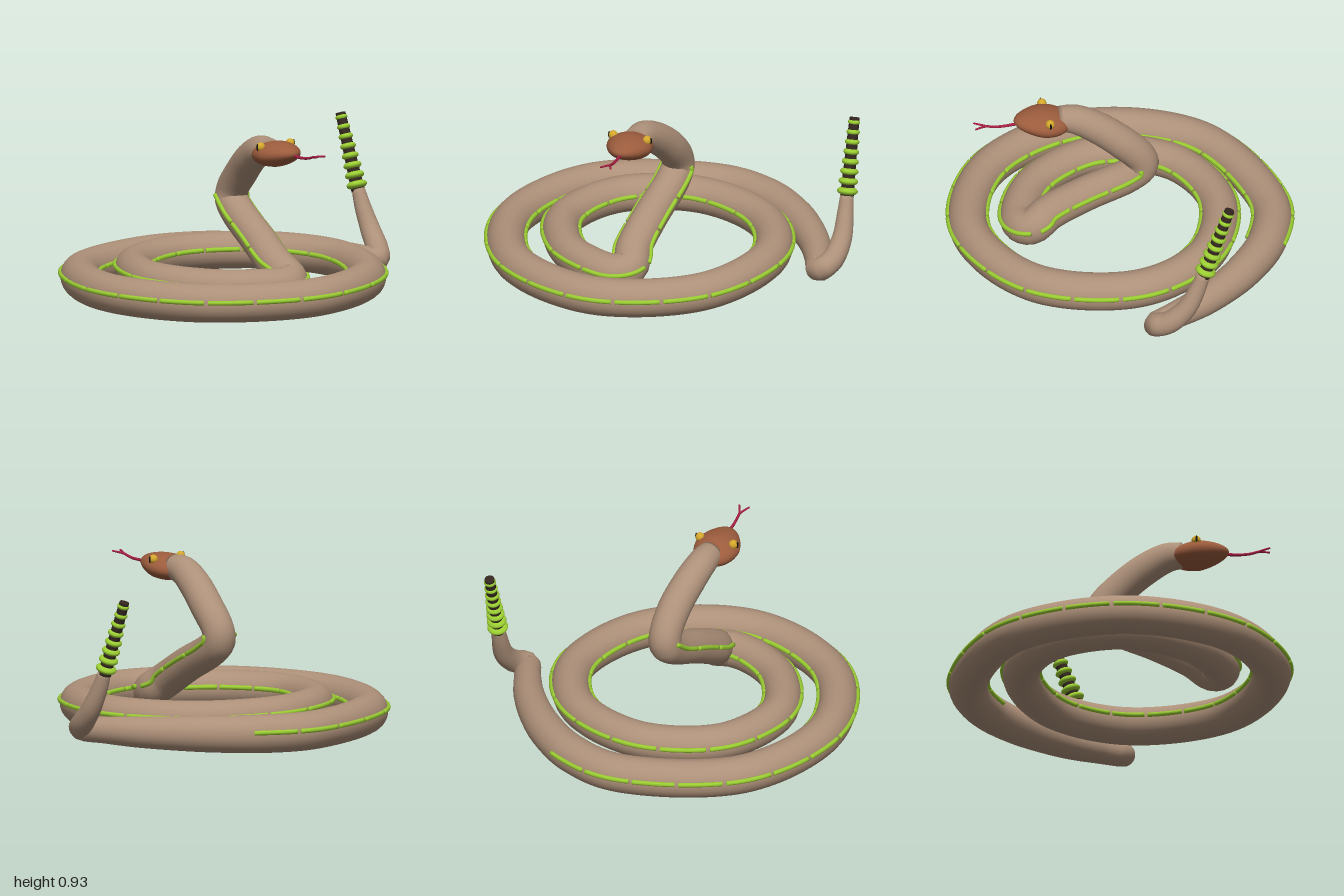
import * as THREE from 'three';

const V = (x, y, z) => new THREE.Vector3(x, y, z);
const mat = (name, color) => new THREE.MeshStandardMaterial({ name, color });
const UP = V(0, 1, 0);

// Closed tube along a curve; radius is a function of arc length 0..1
function sweep(curve, radius, steps, sides) {
  const frames = curve.computeFrenetFrames(steps, false);
  const pos = [], idx = [];
  const ring = (i, r) => {
    const p = curve.getPointAt(i / steps);
    for (let j = 0; j < sides; j++) {
      const a = (j / sides) * Math.PI * 2;
      const v = p.clone()
        .addScaledVector(frames.normals[i], r * Math.cos(a))
        .addScaledVector(frames.binormals[i], r * Math.sin(a));
      pos.push(v.x, v.y, v.z);
    }
  };
  ring(0, 0.0001);
  for (let i = 0; i <= steps; i++) ring(i, radius(i / steps));
  ring(steps, 0.0001);
  for (let i = 0; i < steps + 2; i++) {
    for (let j = 0; j < sides; j++) {
      const k = (j + 1) % sides;
      const a = i * sides + j, d = i * sides + k, b = a + sides, c = d + sides;
      idx.push(a, d, b, d, c, b);
    }
  }
  const g = new THREE.BufferGeometry();
  g.setAttribute('position', new THREE.Float32BufferAttribute(pos, 3));
  g.setIndex(idx);
  g.computeVertexNormals();
  return g;
}

// Body centre line with radius: tail tip, outer coil, inner coil, neck
const PATH = [
  [0.94, 0.45, -0.23, 0.036], [0.945, 0.36, -0.195, 0.045], [0.95, 0.24, -0.13, 0.055],
  [0.93, 0.15, -0.04, 0.062], [0.88, 0.11, 0.025, 0.065], [0.825, 0.11, -0.1, 0.073],
  [0.73, 0.11, -0.29, 0.085], [0.53, 0.11, -0.55, 0.098], [0.28, 0.108, -0.745, 0.105],
  [-0.03, 0.106, -0.825, 0.105], [-0.65, 0.115, -0.585, 0.105], [-0.89, 0.12, 0, 0.105],
  [-0.67, 0.125, 0.57, 0.105], [-0.12, 0.132, 0.815, 0.105], [0.41, 0.14, 0.58, 0.104],
  [0.6, 0.15, 0.05, 0.103], [0.41, 0.155, -0.36, 0.102], [-0.03, 0.16, -0.54, 0.1],
  [-0.44, 0.16, -0.385, 0.1], [-0.6, 0.158, 0, 0.1], [-0.46, 0.155, 0.35, 0.1],
  [-0.25, 0.155, 0.505, 0.1], [-0.1, 0.155, 0.54, 0.1], [-0.04, 0.175, 0.49, 0.1],
  [-0.055, 0.24, 0.39, 0.098], [-0.035, 0.345, 0.2, 0.096], [0.0, 0.46, -0.04, 0.093],
  [0.008, 0.52, -0.11, 0.09], [0.01, 0.58, -0.1, 0.088], [0.0, 0.69, 0.0, 0.09],
  [-0.03, 0.79, 0.13, 0.087], [-0.055, 0.85, 0.25, 0.08], [-0.065, 0.86, 0.34, 0.07],
];

export function createModel() {
  const skin = mat('skin', 0xad9079);
  const headSkin = mat('headSkin', 0x9c5c3d);
  const green = mat('green', 0x9acd32);
  const dark = mat('dark', 0x33261f);
  const gold = mat('gold', 0xd4a72c);
  const black = mat('black', 0x111111);
  const red = mat('red', 0xa81f42);

  const model = new THREE.Group();
  const add = (name, geo, material, parent = model) => {
    const m = new THREE.Mesh(geo, material);
    m.name = name;
    parent.add(m);
    return m;
  };

  // Coiled body
  const curve = new THREE.CatmullRomCurve3(PATH.map(p => V(p[0], p[1], p[2])));
  curve.arcLengthDivisions = 1500;
  const last = PATH.length - 1;
  const radiusAt = u => {
    const s = curve.getUtoTmapping(u) * last;
    const i = Math.min(Math.floor(s), last - 1);
    return THREE.MathUtils.lerp(PATH[i][3], PATH[i + 1][3], s - i);
  };
  add('body', sweep(curve, radiusAt, 420, 28), skin);

  // Dashed stripes on both flanks, from the outer coil up to the neck bend
  const uOf = index => {
    let u = 0;
    while (curve.getUtoTmapping(u) * last < index) u += 0.001;
    return u;
  };
  const u0 = uOf(7.8), u1 = uOf(27.2), dashes = 32;
  const stripes = new THREE.Group();
  stripes.name = 'sideStripes';
  model.add(stripes);
  for (const side of [-1, 1]) {
    for (let d = 0; d < dashes; d++) {
      const pts = [];
      for (let k = 0; k <= 8; k++) {
        const u = u0 + (u1 - u0) * (d + 0.04 + 0.92 * k / 8) / dashes;
        const out = curve.getTangentAt(u).cross(UP).normalize();
        pts.push(curve.getPointAt(u).addScaledVector(out, side * radiusAt(u)).add(V(0, 0.02, 0)));
      }
      add('stripeDash', sweep(new THREE.CatmullRomCurve3(pts), () => 0.013, 12, 8), green, stripes);
    }
  }

  // Rattle: tapering dark core with flattened rings
  const base = V(0.94, 0.44, -0.23), tip = V(0.928, 0.85, -0.378);
  const rattle = new THREE.Group();
  rattle.name = 'rattle';
  rattle.position.copy(base);
  rattle.quaternion.setFromUnitVectors(UP, tip.clone().sub(base).normalize());
  model.add(rattle);
  const length = base.distanceTo(tip);
  add('rattleCore', new THREE.CylinderGeometry(0.027, 0.037, length, 20), dark, rattle).position.y = length / 2;
  for (let i = 0; i < 8; i++) {
    const f = i / 7;
    const ring = add('rattleRing', new THREE.SphereGeometry(1, 24, 14), green, rattle);
    const r = 0.057 - 0.024 * f;
    ring.scale.set(r, 0.025 - 0.006 * f, r);
    ring.position.y = 0.035 + f * (length - 0.06);
  }

  // Egg-shaped head, narrowing to the snout
  const head = new THREE.Group();
  head.name = 'head';
  head.position.set(-0.07, 0.858, 0.425);
  model.add(head);
  const skull = new THREE.SphereGeometry(1, 40, 28);
  const p = skull.attributes.position;
  for (let i = 0; i < p.count; i++) {
    const z = p.getZ(i);
    const taper = z > 0 ? 1 - 0.24 * z : 1 - 0.05 * z;
    p.setXYZ(i, p.getX(i) * taper * 0.125, p.getY(i) * taper * 0.07, z * 0.16);
  }
  skull.computeVertexNormals();
  add('skull', skull, headSkin, head).rotation.x = -0.14;

  // Eyes with slit pupils
  for (const s of [-1, 1]) {
    const eye = add('eye', new THREE.SphereGeometry(0.025, 20, 14), gold, head);
    eye.position.set(s * 0.098, 0.045, -0.02);
    const pupil = add('pupil', new THREE.SphereGeometry(1, 14, 10), black, head);
    pupil.scale.set(0.006, 0.019, 0.006);
    pupil.position.set(s * 0.121, 0.045, -0.018);
  }

  // Forked tongue
  const tongue = new THREE.Group();
  tongue.name = 'tongue';
  model.add(tongue);
  const strand = (name, pts, r) =>
    add(name, sweep(new THREE.CatmullRomCurve3(pts), u => r * (1 - 0.25 * u), 16, 10), red, tongue);
  strand('tongueStem', [V(-0.065, 0.868, 0.55), V(-0.063, 0.866, 0.63), V(-0.06, 0.872, 0.69), V(-0.058, 0.888, 0.745)], 0.009);
  for (const s of [-1, 1]) {
    strand('tongueFork', [V(-0.058, 0.886, 0.74), V(-0.058 + s * 0.013, 0.892, 0.77), V(-0.058 + s * 0.029, 0.897, 0.805)], 0.0065);
  }
  return model;
}
